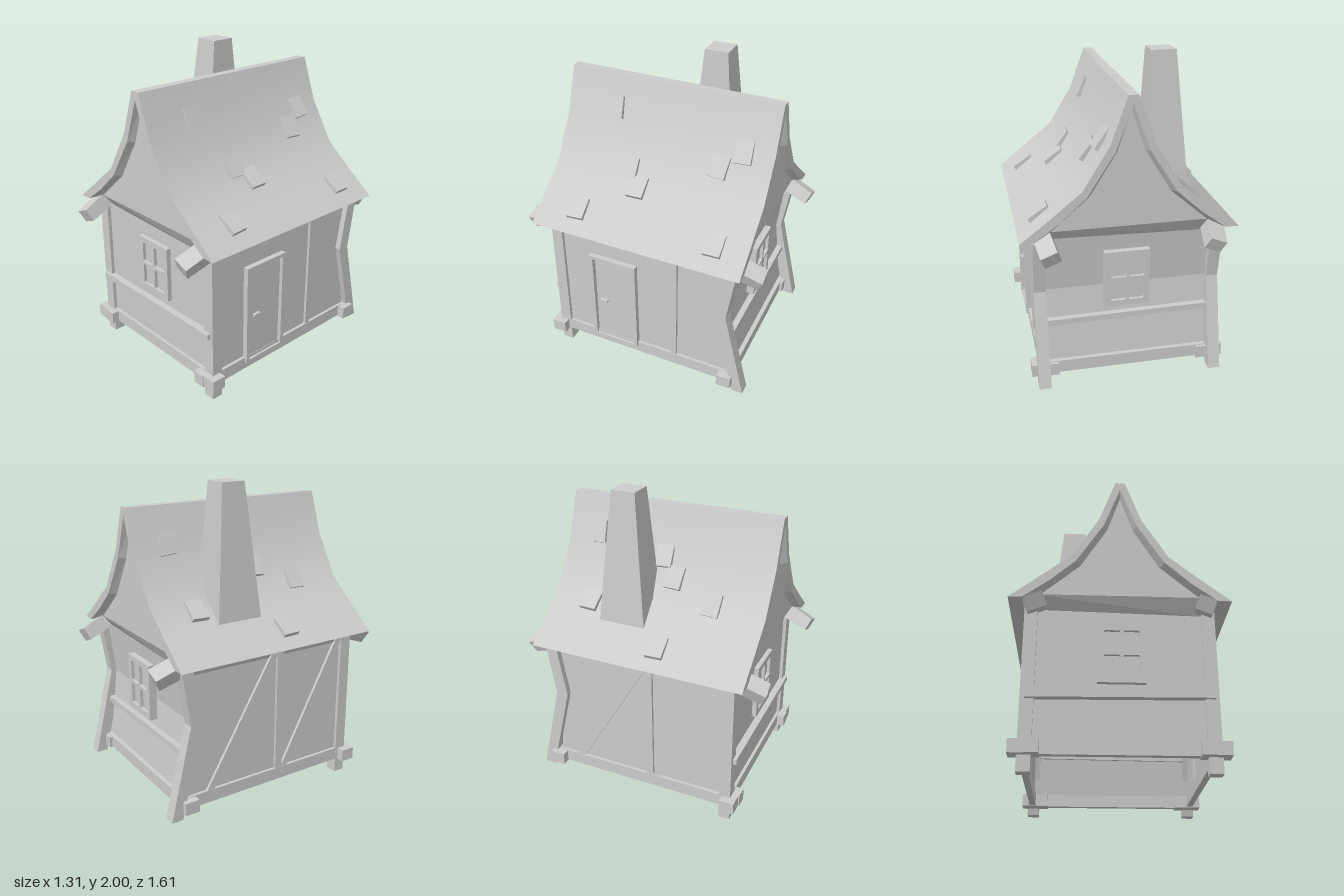
import * as THREE from 'three';
import { toCreasedNormals } from 'three/addons/utils/BufferGeometryUtils.js';

const mat = new THREE.MeshStandardMaterial({ color: 0xcccccc, flatShading: true });
const thinMat = new THREE.MeshStandardMaterial({ color: 0xcccccc, flatShading: true, side: THREE.DoubleSide });
const smoothMat = new THREE.MeshStandardMaterial({ color: 0xcccccc });

// Half profiles from ridge to eave
const OUTER = [[0.03, 1.85], [0.13, 1.57], [0.29, 1.31], [0.46, 1.17], [0.656, 1.016]];
const INNER = [[0, 1.8], [0.1, 1.53], [0.265, 1.27], [0.42, 1.13], [0.575, 1.016]];
const GABLE = [[0, 1.76], [0.08, 1.52], [0.24, 1.26], [0.4, 1.12], [0.47, 1.06]];

const mirror = (pts) => pts.map(([x, y]) => [-x, y]);
const shapeOf = (pts) => new THREE.Shape(pts.map(([x, y]) => new THREE.Vector2(x, y)));

function add(parent, name, geometry, material = mat) {
  const mesh = new THREE.Mesh(geometry, material);
  mesh.name = name;
  parent.add(mesh);
  return mesh;
}

function box(parent, name, size, pos) {
  const mesh = add(parent, name, new THREE.BoxGeometry(...size));
  mesh.position.set(...pos);
  return mesh;
}

// Straight timber between two points
function bar(parent, name, a, b, width, depth) {
  const p = new THREE.Vector3(...a), q = new THREE.Vector3(...b);
  const dir = q.clone().sub(p);
  const mesh = add(parent, name, new THREE.BoxGeometry(width, dir.length(), depth));
  mesh.position.copy(p).add(q).multiplyScalar(0.5);
  mesh.quaternion.setFromUnitVectors(new THREE.Vector3(0, 1, 0), dir.normalize());
  return mesh;
}

// Side outline in (z, y), given thickness along x
function sideExtrude(pts, thickness) {
  return new THREE.ExtrudeGeometry(shapeOf(pts), { depth: thickness, bevelEnabled: false })
    .translate(0, 0, -thickness / 2).rotateY(-Math.PI / 2);
}

// Surface joining rows of equally many points
function loft(rows) {
  const n = rows[0].length, index = [];
  for (let r = 0; r < rows.length - 1; r++) {
    for (let i = 0; i < n - 1; i++) {
      const a = r * n + i, b = a + n;
      index.push(a, a + 1, b + 1, a, b + 1, b);
    }
  }
  const g = new THREE.BufferGeometry();
  g.setAttribute('position', new THREE.Float32BufferAttribute(rows.flat(2), 3));
  g.setIndex(index);
  g.computeVertexNormals();
  return g;
}

function roundedRect(Type, cx, cy, w, h, r) {
  const s = new Type(), x = cx - w / 2, y = cy - h / 2;
  s.moveTo(x + r, y);
  s.lineTo(x + w - r, y).quadraticCurveTo(x + w, y, x + w, y + r);
  s.lineTo(x + w, y + h - r).quadraticCurveTo(x + w, y + h, x + w - r, y + h);
  s.lineTo(x + r, y + h).quadraticCurveTo(x, y + h, x, y + h - r);
  s.lineTo(x, y + r).quadraticCurveTo(x, y, x + r, y);
  return s;
}

// Rectangular frame with holes given as [cx, cy, w, h, r]
function frame(w, h, holes, depth) {
  const s = shapeOf([[-w / 2, -h / 2], [w / 2, -h / 2], [w / 2, h / 2], [-w / 2, h / 2]]);
  holes.forEach((o) => s.holes.push(roundedRect(THREE.Path, ...o)));
  return new THREE.ExtrudeGeometry(s, { depth, bevelEnabled: false, curveSegments: 4 });
}

function makeWindow() {
  const g = new THREE.Group();
  const holes = [];
  for (const x of [-0.055, 0.058]) for (const y of [-0.078, 0.078]) holes.push([x, y, 0.095, 0.135, 0.012]);
  add(g, 'windowFrame', frame(0.28, 0.365, holes, 0.05));
  box(g, 'windowPanes', [0.26, 0.34, 0.015], [0, 0, 0.022]);
  return g;
}

// Gable panel with sloping lip and overhang underside
function makeGable() {
  const g = new THREE.Group();
  const arch = (half) => [...mirror(half).reverse(), ...half];
  const at = (pts, z) => pts.map(([x, y]) => [x, y, z]);
  add(g, 'gablePanel', new THREE.ShapeGeometry(shapeOf(arch(GABLE.map(([x, y], i) => [i ? x : 0.001, y])))).translate(0, 0, 0.655), thinMat);
  add(g, 'gableLip', loft([at(arch(INNER), 0.7), at(arch(GABLE), 0.655)]), thinMat);
  add(g, 'gableUnderside', loft([[[-0.52, 1.06, 0.655], [0.52, 1.06, 0.655]], [[-0.54, 0.98, 0.595], [0.54, 0.955, 0.595]]]), thinMat);
  return g;
}

// Point and slope angle on the roof at distance x from the ridge
function roofAt(x) {
  const i = Math.max(1, OUTER.findIndex((p) => p[0] >= x));
  const [x0, y0] = OUTER[i - 1], [x1, y1] = OUTER[i];
  return { y: y0 + ((x - x0) / (x1 - x0)) * (y1 - y0), angle: Math.atan2(y0 - y1, x1 - x0) };
}

export function createModel() {
  const house = new THREE.Group();
  house.name = 'cottage';

  // Wall shell, open below, with a kinked back
  const ring = (y, back) => [[-0.54, y, 0.6], [0.54, y, 0.6], [0.54, y, back], [-0.54, y, back], [-0.54, y, 0.6]];
  add(house, 'walls', loft([ring(0.1, -0.63), ring(0.64, -0.565), ring(1.02, -0.61)]), thinMat);

  // Roof shell
  const roofShape = shapeOf([...mirror(OUTER).reverse(), ...OUTER, ...INNER.slice().reverse(), ...mirror(INNER).slice(1)]);
  const roofGeo = new THREE.ExtrudeGeometry(roofShape, { depth: 1.4, bevelEnabled: false }).translate(0, 0, -0.7);
  add(house, 'roof', toCreasedNormals(roofGeo, 0.5), smoothMat);
  for (const turn of [0, Math.PI]) {
    const gable = makeGable();
    gable.name = 'gable';
    gable.rotation.y = turn;
    house.add(gable);
  }

  // Loose shingles: x, z, twist
  const shingles = [
    [0.14, -0.51, 0.06], [0.52, -0.49, 0.02], [0.2, -0.38, -0.08], [0.345, 0.1, 0.03], [0.27, 0.19, 0],
    [0.1, 0.365, 0.06], [0.52, 0.43, 0.06], [-0.11, -0.49, 0.08], [-0.355, -0.425, -0.04], [-0.145, -0.01, 0.06],
    [-0.21, 0.085, -0.05], [-0.53, 0.11, 0.03], [-0.275, 0.36, -0.03],
  ];
  for (const [x, z, twist] of shingles) {
    const side = Math.sign(x), { y, angle } = roofAt(Math.abs(x));
    const holder = new THREE.Group();
    holder.name = 'shingle';
    holder.position.set(x, y, z);
    holder.rotation.z = -side * (angle - 0.08);
    box(holder, 'shingleSlab', [0.14, 0.03, 0.11], [0, 0.008, 0]).rotation.y = twist;
    house.add(holder);
  }

  // Chimney tapering upward
  const chimney = new THREE.BoxGeometry(1, 1, 1);
  const p = chimney.attributes.position;
  for (let i = 0; i < p.count; i++) {
    const top = p.getY(i) > 0;
    const [x0, x1, z0, z1] = top ? [-0.37, -0.215, -0.25, -0.095] : [-0.45, -0.18, -0.325, -0.015];
    p.setXYZ(i, p.getX(i) < 0 ? x0 : x1, top ? 2 : 1.15, p.getZ(i) < 0 ? z0 : z1);
  }
  chimney.computeVertexNormals();
  add(house, 'chimney', chimney);

  const bentPost = [[-0.665, 0.05], [-0.52, 0.645], [-0.58, 0.99], [-0.655, 0.99], [-0.6, 0.645], [-0.74, 0.05]];
  const eaveBeam = [[-0.77, -0.105], [-0.62, -0.045], [0.62, -0.045], [0.77, -0.105], [0.805, -0.025], [0.64, 0.05], [-0.64, 0.05], [-0.805, -0.025]];
  for (const s of [-1, 1]) {
    // Corner posts, eave beams and sill beams on each side
    box(house, 'frontPost', [0.078, 1, 0.075], [s * 0.522, 0.5, 0.585]);
    add(house, 'backPost', sideExtrude(bentPost, 0.075)).position.x = s * 0.54;
    const beam = add(house, 'eaveBeam', sideExtrude(eaveBeam, 0.105));
    beam.position.set(s * 0.51, 1.005, 0);
    beam.rotation.z = -s * 0.38;
    box(house, 'sideSill', [0.04, 0.08, 1.2], [s * 0.54, 0.137, 0]);
    box(house, 'endSill', [1.08, 0.08, 0.04], [0, 0.137, s > 0 ? 0.6 : -0.63]);
    // Sill beam ends poking past the corners
    for (const e of [-1, 1]) {
      box(house, 'sillEnd', [0.1, 0.08, 0.095], [s * 0.56, 0.132, e * 0.615]);
      box(house, 'sillEnd', [0.08, 0.08, 0.1], [s * 0.48, 0.132, e * 0.62]);
    }
    // Window on each end
    const win = makeWindow();
    win.name = 'window';
    win.position.set(0.01, 0.7, s > 0 ? 0.58 : -0.585);
    win.rotation.y = s > 0 ? 0 : Math.PI;
    house.add(win);
  }

  // Rails across the ends
  bar(house, 'frontRail', [-0.535, 0.437, 0.62], [0.54, 0.447, 0.62], 0.037, 0.05);
  bar(house, 'backRail', [-0.535, 0.447, -0.6], [0.54, 0.437, -0.6], 0.037, 0.05);

  // Side wall timbers
  bar(house, 'rightStud', [0.54, 0.17, -0.24], [0.54, 0.98, -0.245], 0.035, 0.04);
  bar(house, 'leftStud', [-0.54, 0.17, 0.06], [-0.54, 0.98, 0.06], 0.035, 0.05);
  bar(house, 'leftBrace', [-0.54, 0.15, -0.47], [-0.54, 0.97, 0.02], 0.035, 0.045);
  bar(house, 'leftBrace', [-0.54, 0.15, 0.09], [-0.54, 0.97, 0.53], 0.035, 0.045);

  // Door on the side wall
  const door = new THREE.Group();
  door.name = 'door';
  door.position.set(0.53, 0.477, 0.185);
  door.rotation.y = Math.PI / 2;
  add(door, 'doorFrame', frame(0.33, 0.675, [[0, -0.002, 0.28, 0.635, 0.001]], 0.045));
  box(door, 'doorPanel', [0.265, 0.62, 0.03], [0, -0.003, 0.012]).rotation.z = -0.008;
  box(door, 'doorHandle', [0.05, 0.018, 0.025], [-0.075, -0.015, 0.035]);
  house.add(door);

  return house;
}
